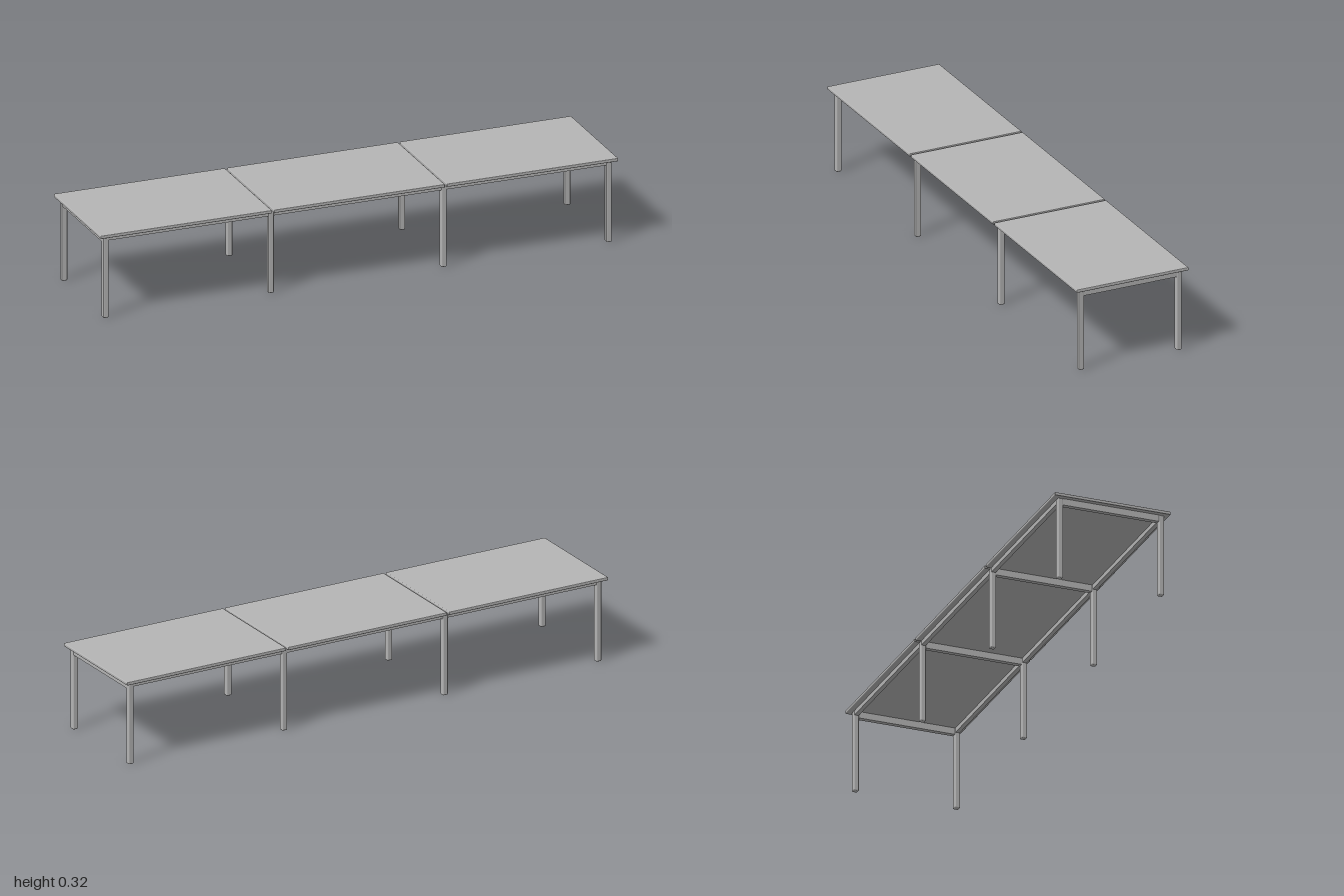
import * as THREE from 'three';
import { RoundedBoxGeometry } from 'three/addons/geometries/RoundedBoxGeometry.js';

export function createModel() {
  const model = new THREE.Group();
  model.name = 'longTable';
  const grey = new THREE.MeshStandardMaterial({ color: 0xb4b4b4 });
  grey.name = 'grey';

  const topY = 0.325, legTop = 0.313, legSize = 0.021, legZ = 0.195;
  const legXs = [-0.972, -0.334, 0.334, 0.972];

  function add(name, geometry, x, y, z) {
    const mesh = new THREE.Mesh(geometry, grey);
    mesh.name = name;
    mesh.position.set(x, y, z);
    model.add(mesh);
  }

  // Three table top panels with narrow gaps between them
  const panels = [[-1, -0.338], [-0.33, 0.33], [0.338, 1]];
  for (const [x0, x1] of panels) {
    add('topPanel', new RoundedBoxGeometry(x1 - x0, topY - legTop, 0.447, 2, 0.003),
      (x0 + x1) / 2, (topY + legTop) / 2, 0);
  }

  // Leg pairs, each joined by a cross rail
  const legGeometry = new RoundedBoxGeometry(legSize, legTop, legSize, 2, 0.004);
  const crossGeometry = new THREE.BoxGeometry(0.018, 0.025, 2 * legZ - legSize + 0.004);
  for (const x of legXs) {
    for (const side of [-1, 1]) add('leg', legGeometry, x, legTop / 2, side * legZ);
    add('crossRail', crossGeometry, x, legTop - 0.0125, 0);
  }

  // Long rails between neighbouring legs, front and back
  for (let i = 0; i < legXs.length - 1; i++) {
    const length = legXs[i + 1] - legXs[i] - legSize + 0.004;
    const railGeometry = new THREE.BoxGeometry(length, 0.017, 0.016);
    for (const side of [-1, 1]) {
      add('longRail', railGeometry, (legXs[i] + legXs[i + 1]) / 2, legTop - 0.0085, side * legZ);
    }
  }
  return model;
}
